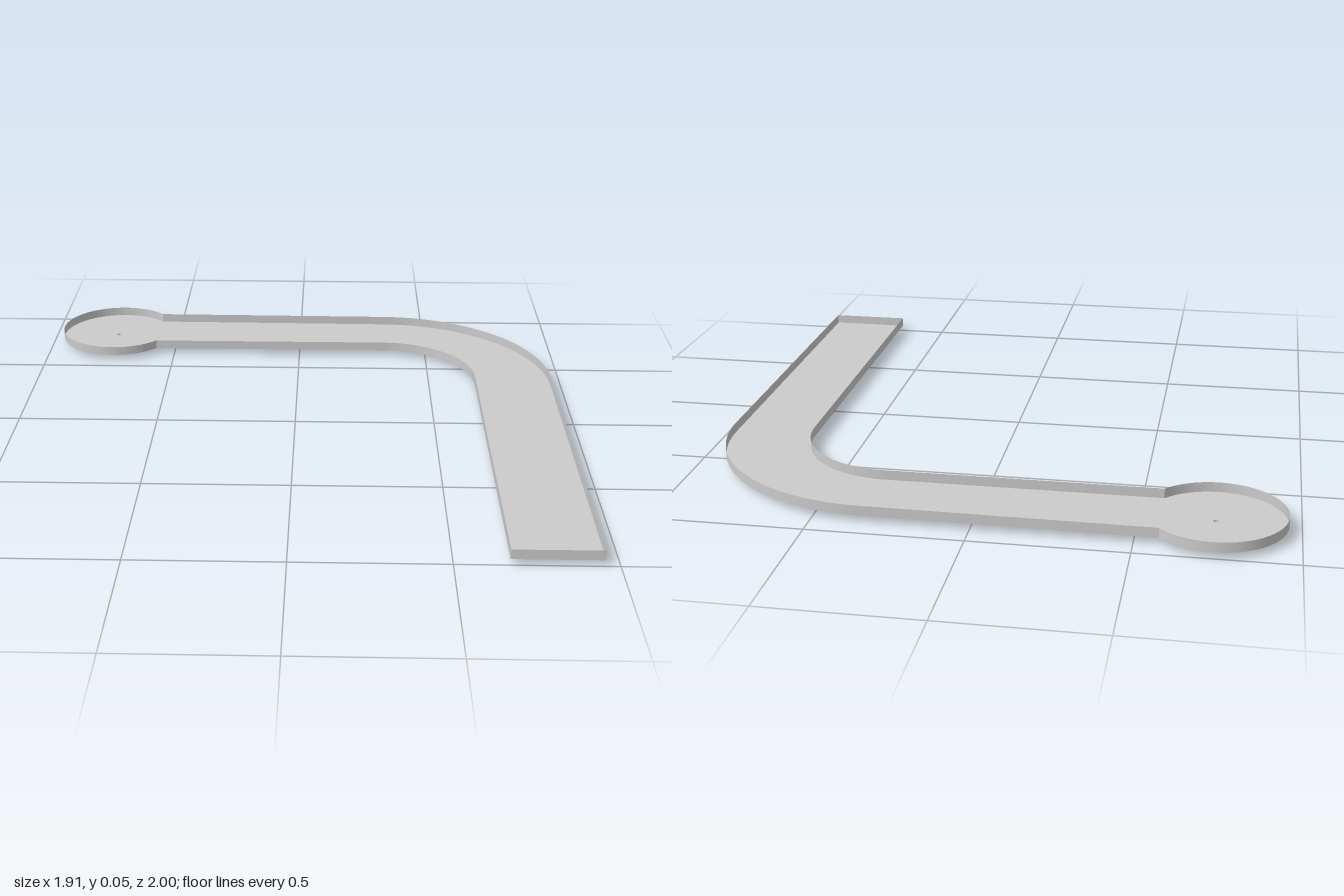
import * as THREE from 'three';
import { toCreasedNormals } from 'three/addons/utils/BufferGeometryUtils.js';

const FLOOR = 0.021, RIM = 0.054;          // tray floor and rim heights
const BEND = { x: 0.335, y: 0.3 };         // centre of the quarter bend
const POOL = { x: -0.739, y: 0.779, r: 0.221 };
const DRAIN_R = 0.008;

// Plan outline, counter-clockwise, with shape y = -z
function planOutline() {
  const s = new THREE.Shape();
  s.moveTo(0.67, -1);
  s.lineTo(0.955, -1);
  s.absarc(BEND.x, BEND.y, 0.62, 0, Math.PI / 2, false);
  s.absarc(POOL.x, POOL.y, POOL.r, 0.74, Math.PI * 2 - 0.71, false);
  s.absarc(BEND.x, BEND.y, 0.335, Math.PI / 2, 0, true);
  s.closePath();
  return s;
}

// Thin upright wall that follows a closed outline
function wallGeometry(points) {
  const pos = [];
  points.forEach((a, i) => {
    const b = points[(i + 1) % points.length];
    if (a.distanceTo(b) < 1e-5) return;
    const a0 = [a.x, FLOOR, -a.y], b0 = [b.x, FLOOR, -b.y];
    const a1 = [a.x, RIM, -a.y], b1 = [b.x, RIM, -b.y];
    pos.push(...a0, ...b0, ...b1, ...a0, ...b1, ...a1);
  });
  const g = new THREE.BufferGeometry();
  g.setAttribute('position', new THREE.Float32BufferAttribute(pos, 3));
  return toCreasedNormals(g, 0.5);
}

export function createModel() {
  const group = new THREE.Group();
  const material = new THREE.MeshStandardMaterial({ color: 0xcccccc, side: THREE.DoubleSide });
  const add = (name, geometry) => {
    const mesh = new THREE.Mesh(geometry, material);
    mesh.name = name;
    group.add(mesh);
    return mesh;
  };

  // Side wall around the whole tray
  const outline = planOutline();
  add('sideWall', wallGeometry(outline.getPoints(40)));

  // Flat floor with the drain hole
  const hole = new THREE.Path();
  hole.absarc(POOL.x, POOL.y, DRAIN_R, 0, Math.PI * 2, true);
  outline.holes.push(hole);
  const floor = new THREE.ShapeGeometry(outline, 40);
  floor.rotateX(-Math.PI / 2);
  floor.translate(0, FLOOR, 0);
  add('floor', floor);

  // Short open drain pipe beneath the round end
  const pipe = new THREE.CylinderGeometry(DRAIN_R, DRAIN_R, FLOOR, 24, 1, true);
  add('drainPipe', pipe).position.set(POOL.x, FLOOR / 2, -POOL.y);

  return group;
}
